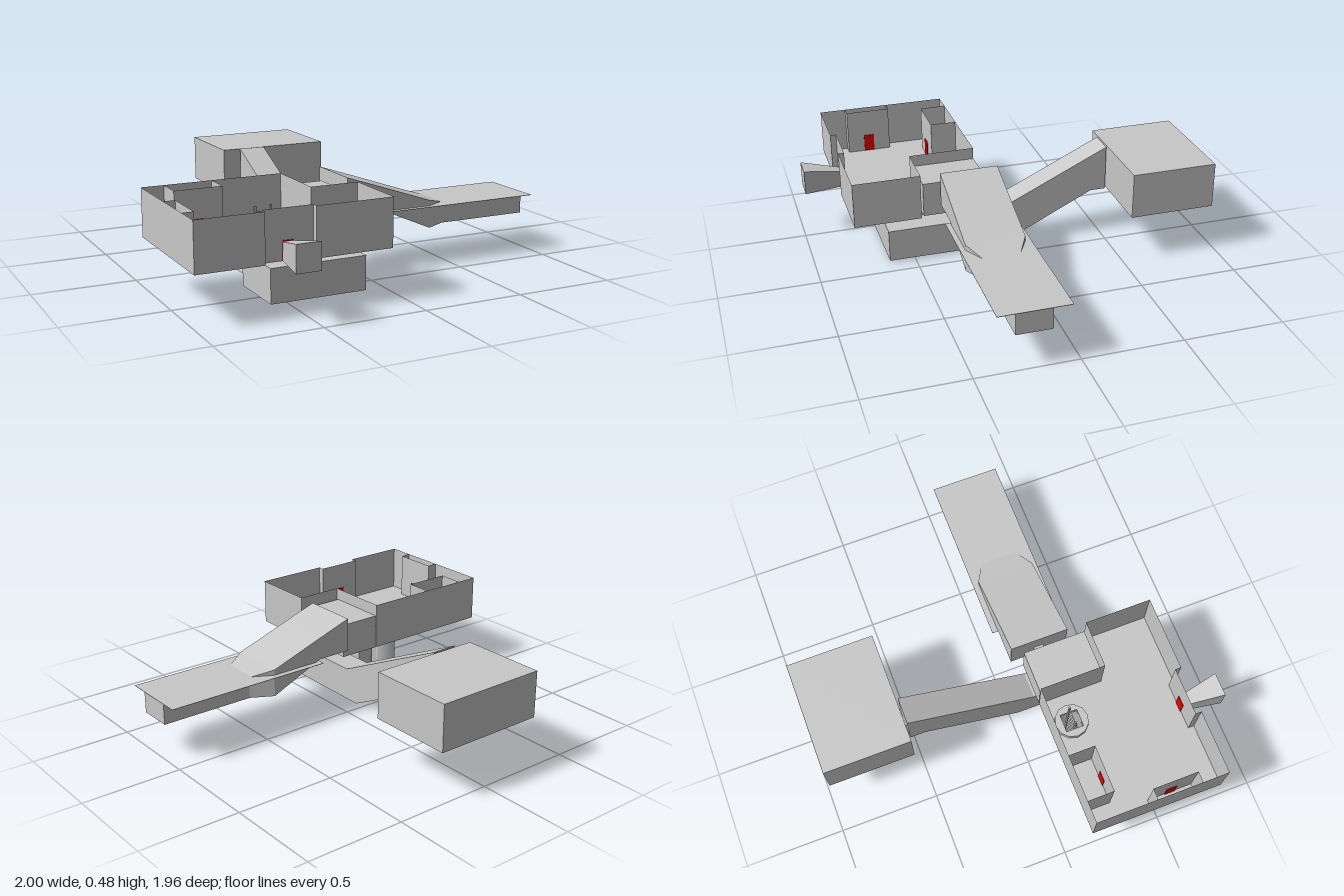
import * as THREE from 'three';

export function createModel() {
  const model = new THREE.Group();
  const gray = new THREE.MeshStandardMaterial({ color: 0xc8c8c8, side: THREE.DoubleSide });
  gray.name = 'plainGray';
  const red = new THREE.MeshStandardMaterial({ color: 0xff0000 });
  red.name = 'doorRed';

  const add = (name, geo, mat = gray) => {
    const mesh = new THREE.Mesh(geo, mat);
    mesh.name = name;
    model.add(mesh);
    return mesh;
  };
  // box from its extents
  const box = (name, x0, x1, y0, y1, z0, z1, mat) => {
    const g = new THREE.BoxGeometry(x1 - x0, y1 - y0, z1 - z0);
    g.translate((x0 + x1) / 2, (y0 + y1) / 2, (z0 + z1) / 2);
    return add(name, g, mat);
  };
  const shapeOf = pts => new THREE.Shape(pts.map(p => new THREE.Vector2(...p)));
  const extrude = (shape, depth) => new THREE.ExtrudeGeometry(shape, { depth, bevelEnabled: false });
  // flat-faced shell joining four-cornered rings, closed at both ends
  const loft = (name, rings) => {
    const p = [];
    const quad = (a, b, c, d) => p.push(...a, ...b, ...c, ...a, ...c, ...d);
    for (let i = 0; i + 1 < rings.length; i++)
      for (let k = 0; k < 4; k++) {
        const n = (k + 1) % 4;
        quad(rings[i][k], rings[i + 1][k], rings[i + 1][n], rings[i][n]);
      }
    quad(...rings[0]);
    quad(...[...rings[rings.length - 1]].reverse());
    const g = new THREE.BufferGeometry();
    g.setAttribute('position', new THREE.Float32BufferAttribute(p, 3));
    g.computeVertexNormals();
    return add(name, g);
  };

  // open-topped main room: thin walls around a plan outline
  const plan = [[-0.06, 0.805], [-0.06, 0.465], [-0.3, 0.465], [-0.3, 0.13], [-1, 0.13], [-1, 0.805],
    [-0.68, 0.805], [-0.68, 0.775], [-0.44, 0.775], [-0.44, 0.805]];
  const walls = (name, pts, closed) => {
    const count = closed ? pts.length : pts.length - 1;
    for (let i = 0; i < count; i++) {
      const [x0, z0] = pts[i], [x1, z1] = pts[(i + 1) % pts.length];
      const g = new THREE.PlaneGeometry(Math.hypot(x1 - x0, z1 - z0), 0.235);
      g.rotateY(-Math.atan2(z1 - z0, x1 - x0));
      g.translate((x0 + x1) / 2, 0.3605, (z0 + z1) / 2);
      add(name, g);
    }
  };
  walls('roomWall', plan, true);
  walls('backCloset', [[-0.89, 0.13], [-0.89, 0.265], [-0.655, 0.265], [-0.655, 0.13]]);
  walls('sideCloset', [[-1, 0.44], [-0.945, 0.44], [-0.945, 0.67], [-1, 0.67]]);

  // floor and well rim share a square shaft opening
  const hole = new THREE.Path([[-0.49, 0.2], [-0.4, 0.2], [-0.4, 0.29], [-0.49, 0.29]].map(p => new THREE.Vector2(...p)));
  const floor = shapeOf(plan);
  floor.holes.push(hole);
  add('roomFloor', new THREE.ShapeGeometry(floor).rotateX(Math.PI / 2).translate(0, 0.243, 0));
  const rim = shapeOf(Array.from({ length: 12 }, (_, i) => {
    const a = (i / 12) * Math.PI * 2;
    return [-0.445 + 0.085 * Math.cos(a), 0.245 + 0.085 * Math.sin(a)];
  }));
  rim.holes.push(hole);
  add('wellRim', extrude(rim, 0.025).rotateX(Math.PI / 2).translate(0, 0.268, 0));

  // ladder in the shaft
  for (const x of [-0.49, -0.41]) box('ladderRail', x, x + 0.01, 0.01, 0.36, 0.24, 0.25);
  for (let i = 0; i < 9; i++) box('ladderRung', -0.48, -0.41, 0.03 + i * 0.037, 0.036 + i * 0.037, 0.242, 0.248);
  const shaft = new THREE.CylinderGeometry(0.0636, 0.0636, 0.24, 4, 1, true, Math.PI / 4);
  add('ladderShaft', shaft.translate(-0.445, 0.122, 0.245));
  box('shaftFloor', -0.49, -0.4, 0.002, 0.005, 0.2, 0.29);
  box('shaftConnector', -0.475, -0.415, 0.005, 0.1, 0.288, 0.312);

  // low side chamber, with short links to its neighbours
  box('sideChamber', -0.295, -0.08, 0.243, 0.42, 0.13, 0.45);
  box('chamberLink', -0.26, -0.21, 0.243, 0.335, 0.45, 0.465);
  box('rampLink', -0.08, -0.06, 0.3, 0.39, 0.19, 0.24);

  // flared entrance
  const mouth = (z, x0, x1, y1) => [[x0, 0.243, z], [x1, 0.243, z], [x1, y1, z], [x0, y1, z]];
  loft('entrancePorch', [mouth(0.98, -0.62, -0.5, 0.372), mouth(0.78, -0.588, -0.535, 0.33)]);

  // lower passage and the rising tunnel behind it
  const passage = shapeOf([[-0.58, 0.63], [-0.58, 0.31], [-0.33, 0.31], [-0.33, 0.45], [-0.1, 0.45], [-0.1, 0.63]]);
  add('lowerPassage', extrude(passage, 0.167).rotateX(Math.PI / 2).translate(0, 0.17, 0));
  const rise = shapeOf([[0.45, 0.003], [0.05, 0], [-0.45, 0.243], [-0.53, 0.243], [-0.53, 0.48], [0.13, 0.17], [0.45, 0.17]]);
  add('risingTunnel', extrude(rise, 0.135).rotateY(-Math.PI / 2).translate(-0.1, 0, 0));

  // closed rear room and its link
  box('rearRoom', -0.325, 0.25, 0.243, 0.478, -0.98, -0.54);
  box('rearLink', -0.195, -0.14, 0.243, 0.335, -0.54, -0.53, [gray, gray, gray, red, gray, gray]);

  // sloping duct that narrows into a straight channel
  const ring = (x, y0, y1, z0, z1) => [[x, y0, z0], [x, y0, z1], [x, y1, z1], [x, y1, z0]];
  loft('slopingDuct', [
    ring(-0.06, 0.303, 0.478, 0.07, 0.365),
    ring(0.12, 0.303, 0.417, 0.07, 0.365),
    ring(0.4, 0.18, 0.32, 0.07, 0.365),
    ring(0.51, 0.18, 0.289, 0.13, 0.305),
    ring(0.99, 0.18, 0.289, 0.13, 0.305),
  ]);
  box('ductDeck', 0.12, 0.995, 0.29, 0.292, 0.04, 0.39);

  // red doors
  box('closetDoor', -0.8, -0.748, 0.244, 0.335, 0.262, 0.27, red);
  box('entranceDoor', -0.588, -0.535, 0.244, 0.335, 0.771, 0.779, red);
  box('sideDoor', -0.949, -0.941, 0.244, 0.335, 0.528, 0.582, red);

  return model;
}
